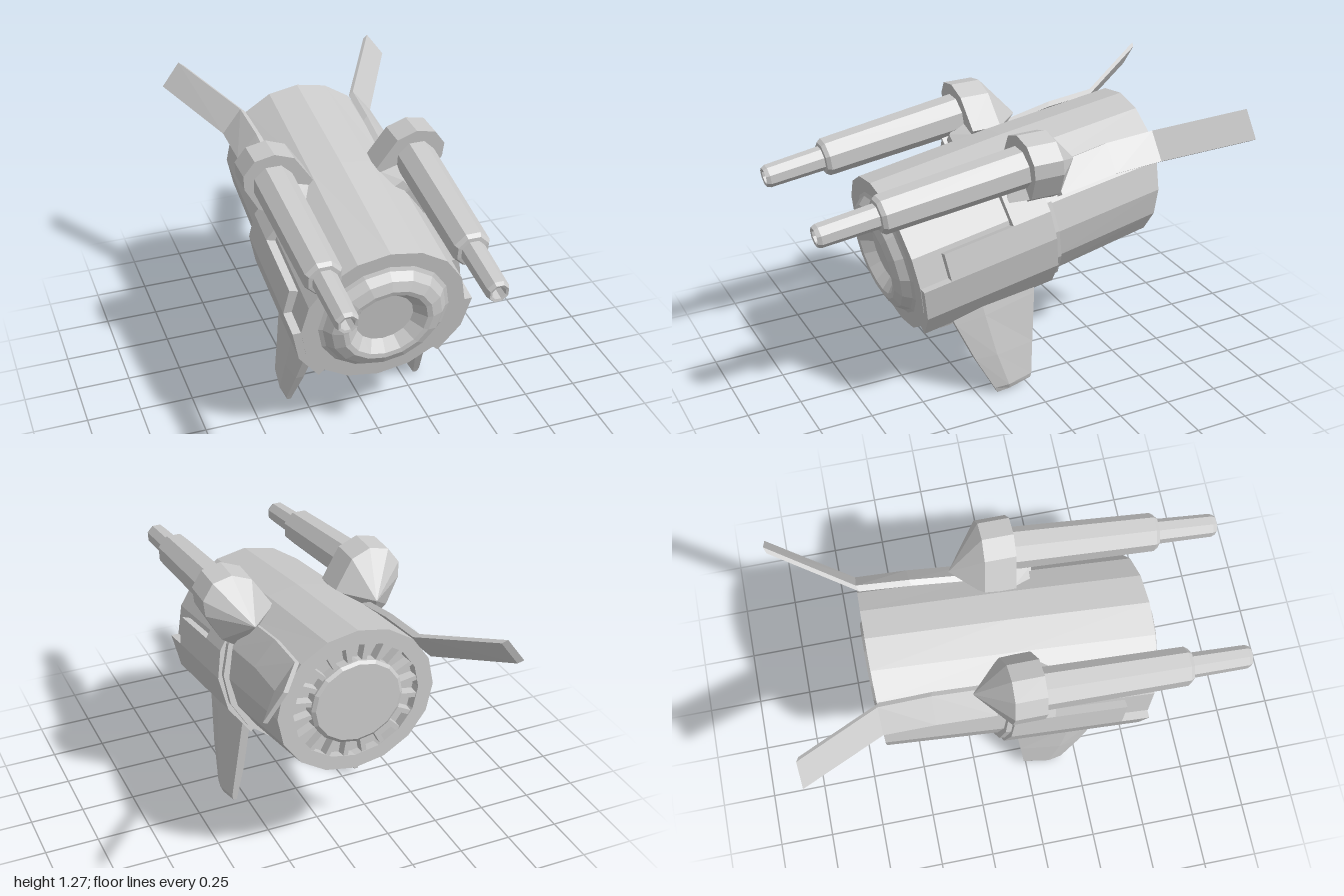
import * as THREE from 'three';

const V = (x, y, z) => new THREE.Vector3(x, y, z);
const range = (n, f) => Array.from({ length: n }, (_, i) => f(i));
const grey = new THREE.MeshStandardMaterial({ color: 0xcccccc, flatShading: true });

// Skin a list of closed rings, with caps, and turn the faces outward
function loft(name, rings) {
  const pos = [];
  const tri = (a, b, c) => pos.push([a, b, c]);
  const n = rings[0].length;
  for (let i = 0; i < rings.length - 1; i++) {
    for (let j = 0; j < n; j++) {
      const k = (j + 1) % n;
      const [a, b, c, d] = [rings[i][j], rings[i][k], rings[i + 1][k], rings[i + 1][j]];
      tri(a, b, c);
      tri(a, c, d);
    }
  }
  const cap = (ring, flip) => {
    const mid = ring.reduce((s, p) => s.add(p), V(0, 0, 0)).divideScalar(n);
    ring.forEach((p, j) => {
      const q = ring[(j + 1) % n];
      if (flip) tri(mid, q, p); else tri(mid, p, q);
    });
  };
  cap(rings[0], true);
  cap(rings[rings.length - 1], false);
  const volume = pos.reduce((s, [a, b, c]) => s + a.dot(b.clone().cross(c)), 0);
  const flat = pos.flatMap(([a, b, c]) => (volume < 0 ? [a, c, b] : [a, b, c]));
  const geometry = new THREE.BufferGeometry().setFromPoints(flat);
  geometry.computeVertexNormals();
  const mesh = new THREE.Mesh(geometry, grey);
  mesh.name = name;
  return mesh;
}

// Point on the sloping, slightly wide body: angle, radius, station, lean of the section
const SLOPE = 0.18;
const axisY = (z) => 0.665 + (0.555 - z) * SLOPE;
function hullPoint(a, r, z, lean = SLOPE) {
  const v = r * Math.sin(a);
  return V(r * 1.06 * Math.cos(a), axisY(z) + v, z + v * lean);
}
const hullRing = ([r, z, lean]) => range(16, (i) => hullPoint((i / 16) * Math.PI * 2, r, z, lean));

function createHull() {
  // Recessed intake, lip, drum and rear vent groove with hub
  return loft('hull', [
    [0.125, 0.56], [0.172, 0.608], [0.195, 0.612], [0.24, 0.595], [0.268, 0.56],
    [0.285, 0.552], [0.357, 0.552], [0.352, -0.08], [0.342, -0.64, 0],
    [0.275, -0.64, 0], [0.275, -0.59, 0], [0.2, -0.59, 0], [0.2, -0.645, 0], [0.185, -0.657, 0],
  ].map(hullRing));
}

function createVents() {
  // Radial vanes across the rear groove
  const vents = new THREE.Group();
  vents.name = 'rearVents';
  const count = 20;
  for (let i = 0; i < count; i++) {
    const a = ((i + 0.5) / count) * Math.PI * 2;
    const vane = new THREE.Mesh(new THREE.BoxGeometry(0.085, 0.022, 0.045), grey);
    vane.name = 'ventVane';
    vane.position.set(Math.cos(a) * 0.25, axisY(-0.64) + Math.sin(a) * 0.238, -0.613);
    vane.rotation.z = a;
    vents.add(vane);
  }
  return vents;
}

// Raised side armour swept around the body between two angles in degrees
function armour(name, from, to, front, rear, steps, s, r = 0.392) {
  return loft(name, range(steps + 1, (i) => {
    const a = THREE.MathUtils.degToRad(from + ((to - from) * i) / steps);
    return [[0.33, front], [r, front], [r, rear], [0.33, rear]].map(([rad, z]) => {
      const p = hullPoint(a, rad, z);
      p.x *= s;
      return p;
    });
  }));
}

function createSide(s) {
  const side = new THREE.Group();
  side.name = s > 0 ? 'leftSide' : 'rightSide';

  // Stepped armour
  side.add(
    armour('lowerArmour', -47, 0, 0.55, -0.09, 2, s),
    armour('middleArmour', 0, 19, 0.42, -0.09, 1, s),
    armour('upperArmour', 19, 46, 0.09, -0.09, 1, s),
    armour('seamBand', -62, 46, -0.075, -0.115, 5, s, 0.375),
  );

  // Octagonal gun barrel with stepped muzzle
  const barrel = [
    [0.026, 0.9], [0.032, 0.99], [0.044, 0.993], [0.052, 0.975], [0.056, 0.72],
    [0.074, 0.718], [0.086, 0.7], [0.094, 0.03],
  ].map(([r, z]) => range(8, (i) => {
    const a = ((i + 0.5) / 8) * Math.PI * 2;
    const v = r * Math.sin(a);
    return V(s * (0.323 + (1 - z) * 0.012 + r * Math.cos(a)), 0.993 + (1 - z) * 0.135 + v, z + v * 0.135);
  }));
  side.add(loft('gunBarrel', barrel));

  // Gun collar with a neck reaching the body and a pointed tail
  const outline = [
    [0.33, 1.27], [0.42, 1.25], [0.47, 1.18], [0.465, 1.11], [0.4, 0.99],
    [0.33, 0.945], [0.2, 1.03], [0.15, 1.1], [0.24, 1.235],
  ];
  const collar = (z) => outline.map(([x, y]) => V(s * x, y, z - (1.27 - y) * 0.14));
  const tail = outline.map(([x, y]) => V(s * (0.29 + (x - 0.3) * 0.02), 1.09 + (y - 1.1) * 0.02, -0.23));
  side.add(loft('gunCollar', [collar(0.07), collar(-0.07), tail]));

  // Small brace in front of the collar
  side.add(loft('gunBrace', [
    [V(s * 0.16, 1.08, 0.03), V(s * 0.3, 1.13, 0.03), V(s * 0.38, 0.98, 0.03), V(s * 0.22, 0.98, 0.03)],
    [V(s * 0.2, 1.03, 0.12), V(s * 0.25, 1.06, 0.12), V(s * 0.33, 0.96, 0.12), V(s * 0.22, 0.96, 0.12)],
  ]));

  // Tail fin: lies along the body, then flares outward
  side.add(loft('tailFin', [
    [-0.13, 0.245, 1.05, 0.34, 0.945],
    [-0.4, 0.25, 1.105, 0.345, 0.995],
    [-0.63, 0.26, 1.125, 0.35, 1.01],
    [-0.99, 0.465, 1.24, 0.55, 1.125],
  ].map(([z, x1, y1, x2, y2]) => [
    V(s * x1, y1, z), V(s * x2, y2, z),
    V(s * (x2 + 0.024), y2 + 0.015, z - 0.01), V(s * (x1 + 0.024), y1 + 0.015, z - 0.01),
  ])));

  // Leg: tapered blade with a narrower front edge
  side.add(loft('leg', [
    [0.37, 0.44, -0.05, 0.52, 0.22, 0.305],
    [0.35, 0.39, -0.045, 0.46, 0.232, 0.312],
    [0.265, 0.2, -0.025, 0.22, 0.258, 0.337],
    [0.175, 0.03, -0.012, 0.06, 0.292, 0.35],
    [0.16, 0, -0.01, 0.035, 0.302, 0.338],
  ].map(([zf, yf, zr, yr, xi, xo]) => {
    const inset = (xo - xi) * 0.25;
    return [
      V(s * (xi + inset), yf, zf), V(s * (xo - inset), yf, zf),
      V(s * xo, yf * 0.65 + yr * 0.35, zf * 0.65 + zr * 0.35), V(s * (xo - inset), yr, zr),
      V(s * (xi + inset), yr, zr), V(s * xi, yf * 0.65 + yr * 0.35, zf * 0.65 + zr * 0.35),
    ];
  })));
  return side;
}

export function createModel() {
  const model = new THREE.Group();
  model.name = 'gunPod';
  model.add(createHull(), createVents(), createSide(1), createSide(-1));
  return model;
}
